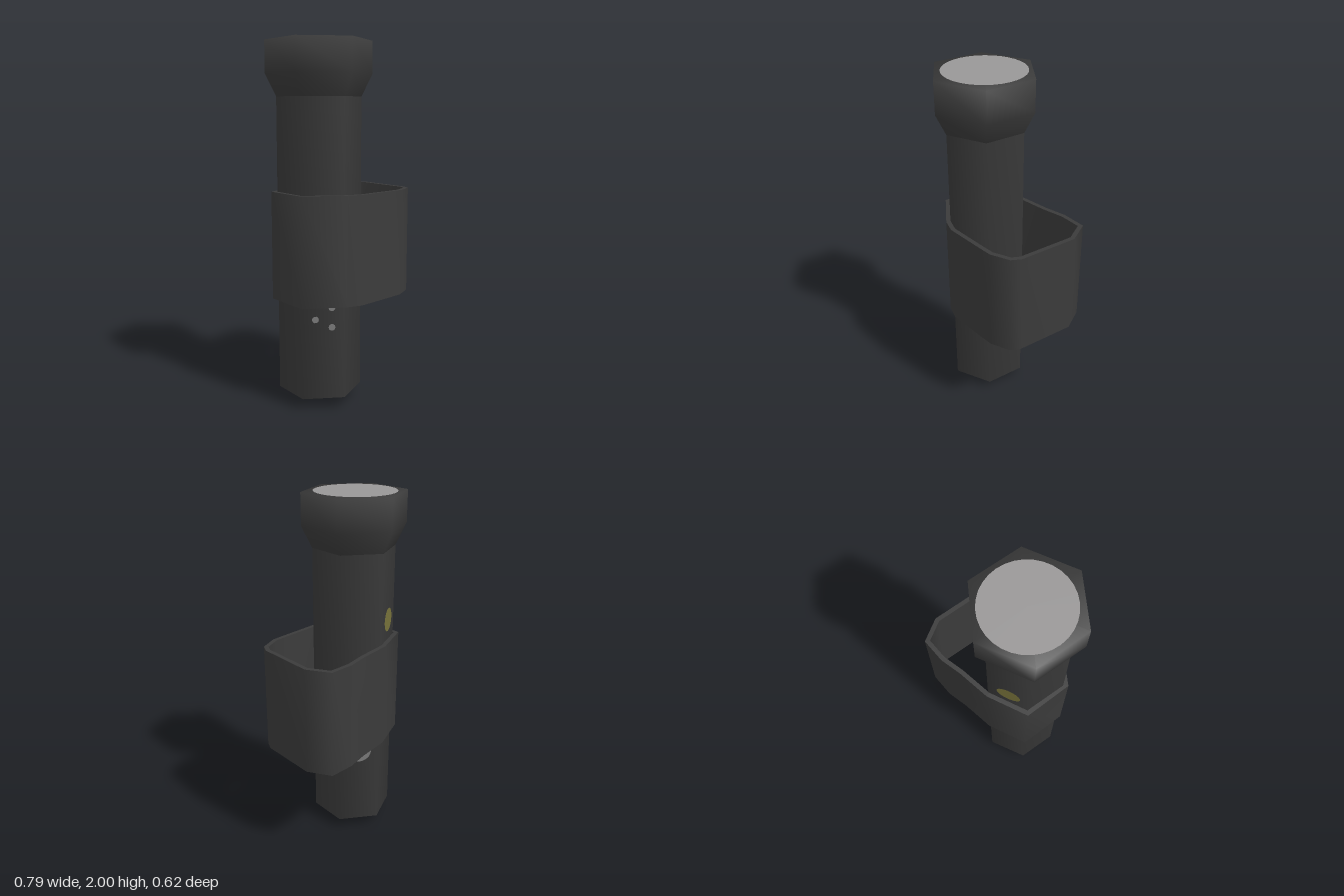
import * as THREE from 'three';
import { toCreasedNormals } from 'three/addons/utils/BufferGeometryUtils.js';

const mat = (name, color, side = THREE.FrontSide) => {
  const m = new THREE.MeshStandardMaterial({ color, side });
  m.name = name;
  return m;
};

const TURN = THREE.MathUtils.degToRad(-2); // slight twist of the hexagon
const R = 0.232;                           // barrel corner radius
const APOTHEM = R * Math.cos(Math.PI / 6);

// Closed outline moved inward by t (outline runs clockwise)
function inset(pts, t) {
  const n = pts.length;
  const normal = (a, b) => new THREE.Vector2(b.y - a.y, a.x - b.x).normalize();
  return pts.map((p, i) => {
    const n1 = normal(pts[(i + n - 1) % n], p);
    const n2 = normal(p, pts[(i + 1) % n]);
    const m = n1.clone().add(n2).normalize();
    return p.clone().addScaledVector(m, t / m.dot(n1));
  });
}

export function createModel() {
  const group = new THREE.Group();
  const black = mat('black plastic', 0x393939);
  const strap = mat('dark strap', 0x3b3b3b, THREE.DoubleSide);
  const glass = mat('lens grey', 0x999797);
  const metal = mat('metal grey', 0x7c7c7c);
  const yellow = mat('button yellow', 0x77723a);

  const add = (name, geo, material, parent = group) => {
    const mesh = new THREE.Mesh(geo, material);
    mesh.name = name;
    parent.add(mesh);
    return mesh;
  };

  const torch = new THREE.Group();
  torch.name = 'torch';
  torch.position.set(-0.138, 0, 0.02);
  group.add(torch);

  // Six-sided barrel with a pointed end, and the flared head
  const hex = (...p) => new THREE.LatheGeometry(
    p.map(([x, y]) => new THREE.Vector2(x, y)), 6, TURN);
  add('barrel', hex([0, 0], [R, 0.06], [R, 1.7]), black, torch);
  add('head', hex([R, 1.7], [0.291, 1.82], [0.291, 1.997], [0, 1.997]), black, torch);

  // Lens
  const lens = new THREE.CircleGeometry(0.227, 32);
  lens.rotateX(-Math.PI / 2);
  add('lens', lens, glass, torch).position.set(0, 2, -0.005);

  // Thin details laid on one flat of the barrel
  const onFlat = (name, geo, material, flat, u, y) => {
    geo.translate(u, y, APOTHEM + 0.003);
    geo.rotateY(TURN + (flat + 0.5) * Math.PI / 3);
    add(name, geo, material, torch);
  };
  onFlat('button', new THREE.CircleGeometry(0.067, 20), yellow, 3, 0, 1.3);
  onFlat('ring', new THREE.RingGeometry(0.03, 0.072, 20), metal, 2, 0, 0.53);
  for (const [u, y] of [[-0.045, 0.51], [0.045, 0.465], [0.045, 0.575]])
    onFlat('stud', new THREE.CircleGeometry(0.019, 10), metal, 5, u, y);

  // Strap around the barrel, standing away on the left
  const outline = [
    [-0.14, -0.234], [0.05, -0.27], [0.175, -0.305], [0.32, -0.312],
    [0.396, -0.185], [0.387, 0.155], [0.36, 0.21], [0.255, 0.265],
    [0.175, 0.275], [-0.065, 0.3], [-0.15, 0.277], [-0.362, 0.15], [-0.36, -0.125],
  ].map(([x, z]) => new THREE.Vector2(x, -z));
  const shape = new THREE.Shape(outline);
  shape.holes.push(new THREE.Path(inset(outline, 0.025)));
  const band = new THREE.ExtrudeGeometry(shape, { depth: 0.605, bevelEnabled: false });
  band.rotateX(-Math.PI / 2);
  add('strap', toCreasedNormals(band, 1.25), strap).position.y = 0.58;

  return group;
}
